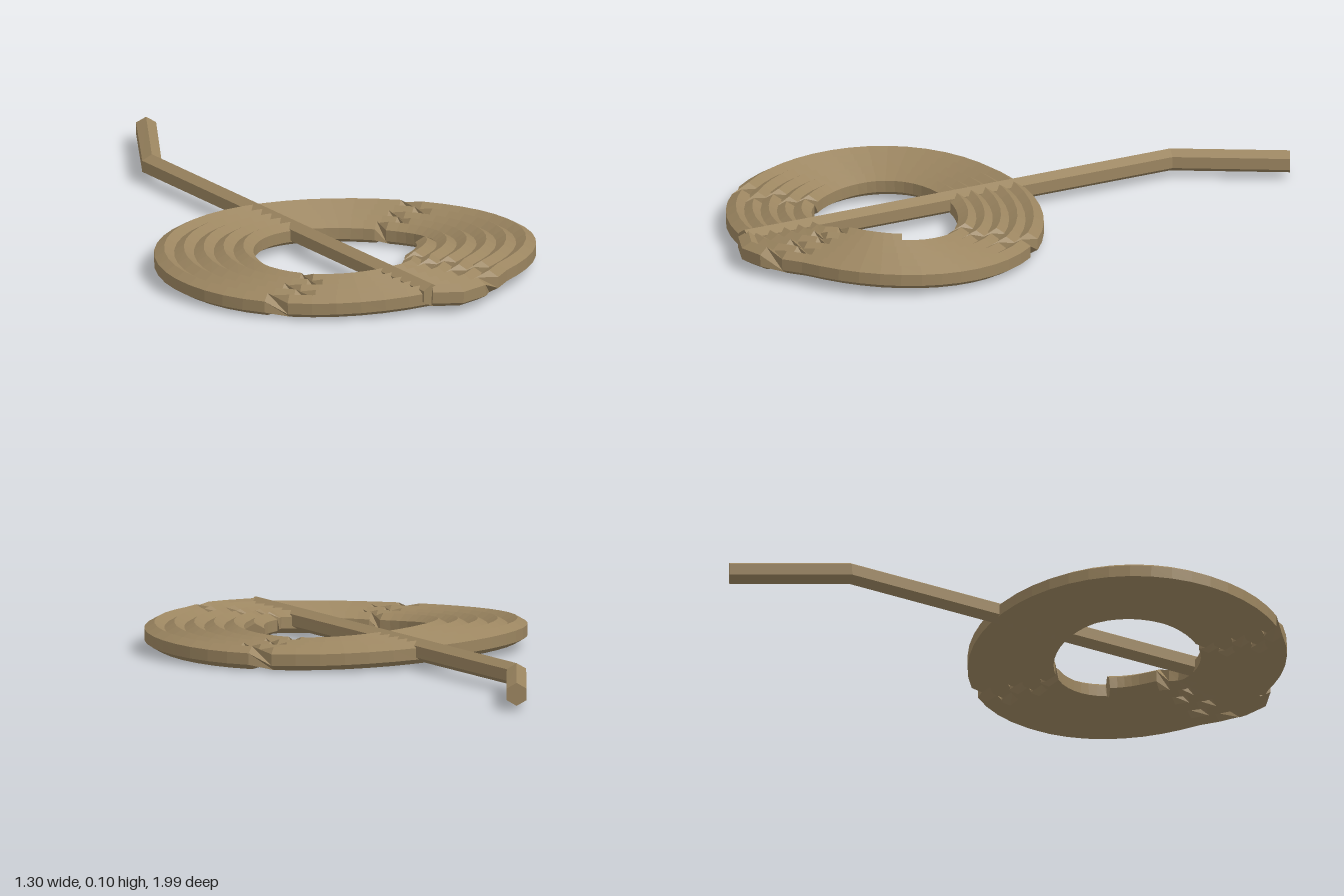
import * as THREE from 'three';

const SIDES = 6, RADIUS = 0.039, DEG = Math.PI / 180;

// Six-sided capped rope swept along points; rolls[i] twists the section at point i.
function ropeGeometry(points, rolls) {
  const up = new THREE.Vector3(0, 1, 0);
  const last = points.length - 1;
  const rings = points.map((p, i) => {
    const before = p.clone().sub(points[Math.max(i - 1, 0)]).normalize();
    const after = points[Math.min(i + 1, last)].clone().sub(p).normalize();
    const t = before.add(after).normalize();
    const side = up.clone().cross(t).normalize();
    const top = t.clone().cross(side);
    return Array.from({ length: SIDES }, (_, j) => {
      const a = (j + 0.5) / SIDES * Math.PI * 2 + rolls[i];
      return p.clone().addScaledVector(side, RADIUS * Math.cos(a)).addScaledVector(top, RADIUS * Math.sin(a));
    });
  });
  const verts = [];
  const tri = (...corners) => corners.forEach(c => verts.push(c.x, c.y, c.z));
  for (let j = 0; j < SIDES; j++) {
    const k = (j + 1) % SIDES;
    for (let i = 0; i < last; i++) {
      tri(rings[i][j], rings[i][k], rings[i + 1][k]);
      tri(rings[i][j], rings[i + 1][k], rings[i + 1][j]);
    }
    tri(points[0], rings[0][k], rings[0][j]);
    tri(points[last], rings[last][j], rings[last][k]);
  }
  const g = new THREE.BufferGeometry();
  g.setAttribute('position', new THREE.Float32BufferAttribute(verts, 3));
  g.computeVertexNormals();
  return g;
}

export function createModel() {
  const rope = new THREE.MeshStandardMaterial({ color: 0x9b8560, flatShading: true });
  rope.name = 'rope tan';
  const group = new THREE.Group();
  group.name = 'coiledRope';

  const add = (name, points, rolls) => {
    const mesh = new THREE.Mesh(ropeGeometry(points, rolls), rope);
    mesh.name = name;
    group.add(mesh);
  };

  // Flat oval coil: each lap steps outward at the front left and twists at three creases
  const points = [], rolls = [];
  const step = 7.5, end = 5 * 360 + 67.5;
  let roll = Math.PI / 6 - Math.PI / 6;
  for (let d = 0; d <= end; d += step) {
    const lap = Math.floor(d / 360), a = d % 360;
    const n = lap + THREE.MathUtils.smoothstep(a, 42, 66);
    const rx = 0.278 + 0.0672 * n, rz = 0.222 + 0.0545 * n;
    const y = 0.051 + 0.011 * Math.cos(2 * (a - 35) * DEG);
    // creases drift slightly from lap to lap
    const shift = (lap % 2) * step;
    if ([52.5 + shift, 127.5 - shift, 307.5 + shift].includes(a)) roll += Math.PI / 3;
    points.push(new THREE.Vector3(rx * Math.cos(a * DEG), y, 0.453 + rz * Math.sin(a * DEG)));
    rolls.push(roll);
  }
  // the coil's outer end meets the loose strand
  points.push(new THREE.Vector3(0.165, 0.06, 0.952));
  rolls.push(roll);
  add('coil', points, rolls);

  // Loose strand laid across the coil and trailing out behind with one bend
  const tail = [[0.165, 0.064, 0.965], [-0.39, 0.058, -0.597], [-0.305, 0.054, -0.99]];
  add('looseEnd', tail.map(p => new THREE.Vector3(...p)), [0, 0, 0]);

  return group;
}
